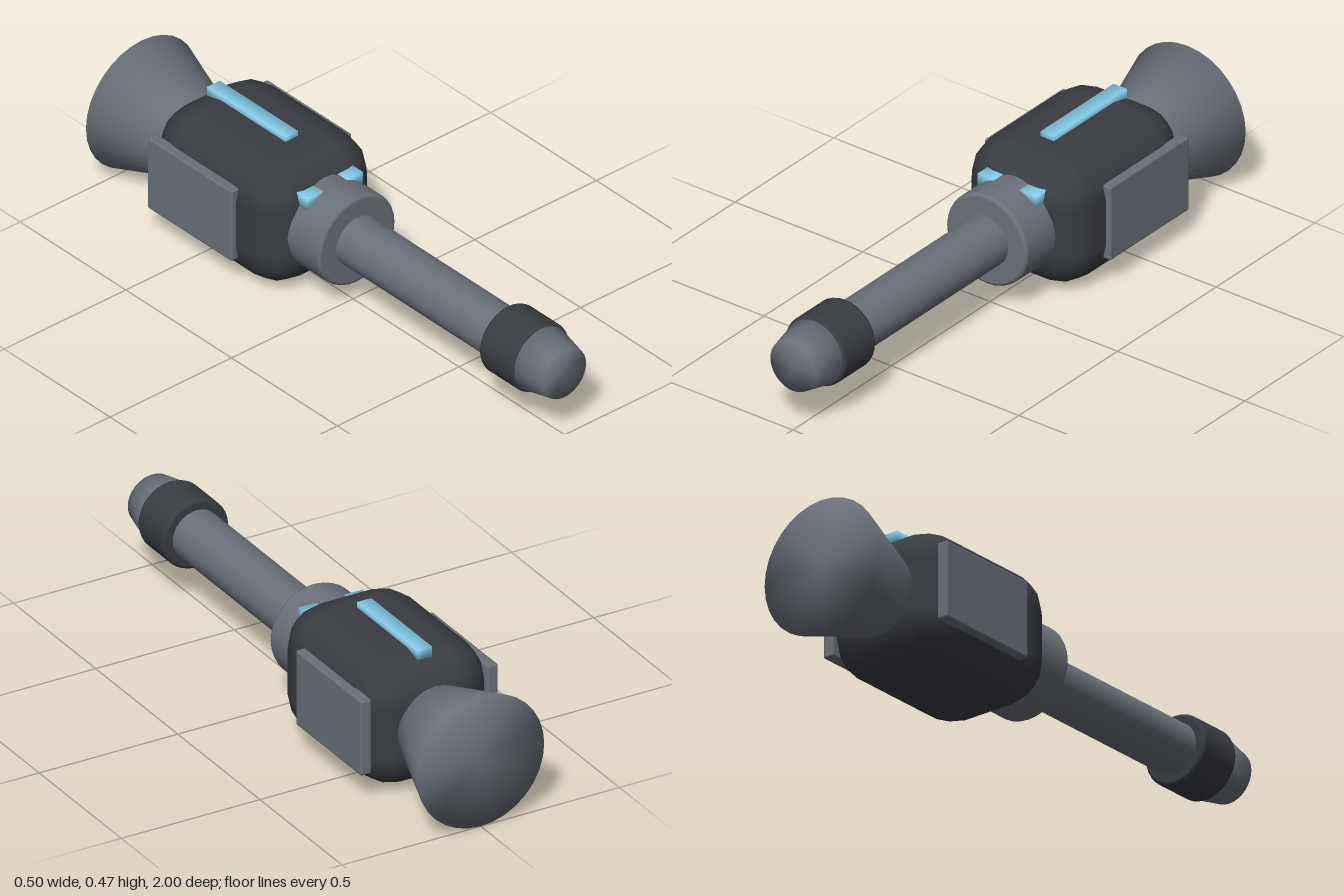
import * as THREE from 'three';
import { mergeVertices } from 'three/addons/utils/BufferGeometryUtils.js';
import { RoundedBoxGeometry } from 'three/addons/geometries/RoundedBoxGeometry.js';

const AXIS_Y = 0.23; // height of the barrel axis

const mat = (color) => new THREE.MeshStandardMaterial({ color });

// Welds all corners so shading flows smoothly over every edge
function soften(geometry) {
  geometry.deleteAttribute('normal');
  geometry.deleteAttribute('uv');
  const welded = mergeVertices(geometry, 1e-4);
  welded.computeVertexNormals();
  return welded;
}

// Closed cylinder or cone along z, from z0 (radius r0) to z1 (radius r1)
function tubeZ(z0, z1, r0, r1 = r0) {
  return new THREE.CylinderGeometry(r1, r0, z1 - z0, 32)
    .rotateX(Math.PI / 2)
    .translate(0, AXIS_Y, (z0 + z1) / 2);
}

// Solid ring band along z with small bevelled rims
function bandZ(z0, z1, r, bevel) {
  const profile = [
    [0, z0], [r - bevel, z0], [r - bevel, z0],
    [r - bevel * 0.3, z0 + bevel * 0.3], [r, z0 + bevel], [r, z0 + bevel],
    [r, z1 - bevel], [r, z1 - bevel], [r - bevel * 0.3, z1 - bevel * 0.3],
    [r - bevel, z1], [r - bevel, z1], [0, z1],
  ].map(([x, y]) => new THREE.Vector2(x, y));
  return new THREE.LatheGeometry(profile, 32)
    .rotateX(Math.PI / 2)
    .translate(0, AXIS_Y, 0);
}

// Box given by its lower and upper corners, with rounded edges
function block(min, max, radius, segments = 2) {
  const size = max.map((v, i) => v - min[i]);
  const mid = max.map((v, i) => (v + min[i]) / 2);
  return new RoundedBoxGeometry(...size, segments, radius).translate(...mid);
}

export function createModel() {
  const model = new THREE.Group();
  const dark = mat(0x393c41);
  const grey = mat(0x6b7079);
  const blue = mat(0x87ceeb);

  const add = (name, geometry, material) => {
    const mesh = new THREE.Mesh(geometry, material);
    mesh.name = name;
    model.add(mesh);
  };

  // Main housing
  add('body', block([-0.23, 0.01, -0.735], [0.23, 0.452, -0.11], 0.14), dark);

  // Barrel assembly, from the collar out to the muzzle
  add('collar', bandZ(-0.16, 0.02, 0.158, 0.01), grey);
  add('barrel', tubeZ(-0.05, 0.8, 0.086), grey);
  add('muzzleBand', bandZ(0.73, 0.89, 0.119, 0.01), dark);
  add('muzzleTip', soften(tubeZ(0.88, 1, 0.113, 0.088)), grey);

  // Flared rear exhaust
  add('rearFlare', soften(tubeZ(-1, -0.7, 0.229, 0.128)), grey);

  // Indicator strip on top
  const strip = new THREE.BoxGeometry(0.052, 0.04, 0.37).translate(0, 0.45, -0.475);
  add('topStrip', soften(strip), blue);

  // Mirrored side plates and front lights
  for (const [side, s] of [['left', 1], ['right', -1]]) {
    const plate = block([-0.02, 0.1, -0.69], [0.02, 0.363, -0.29], 0.008);
    add(side + 'SidePlate', plate.translate(s * 0.228, 0, 0), grey);
    const light = new THREE.BoxGeometry(0.065, 0.045, 0.1);
    add(side + 'Light', soften(light.translate(s * 0.0825, 0.3585, -0.135)), blue);
  }

  return model;
}
